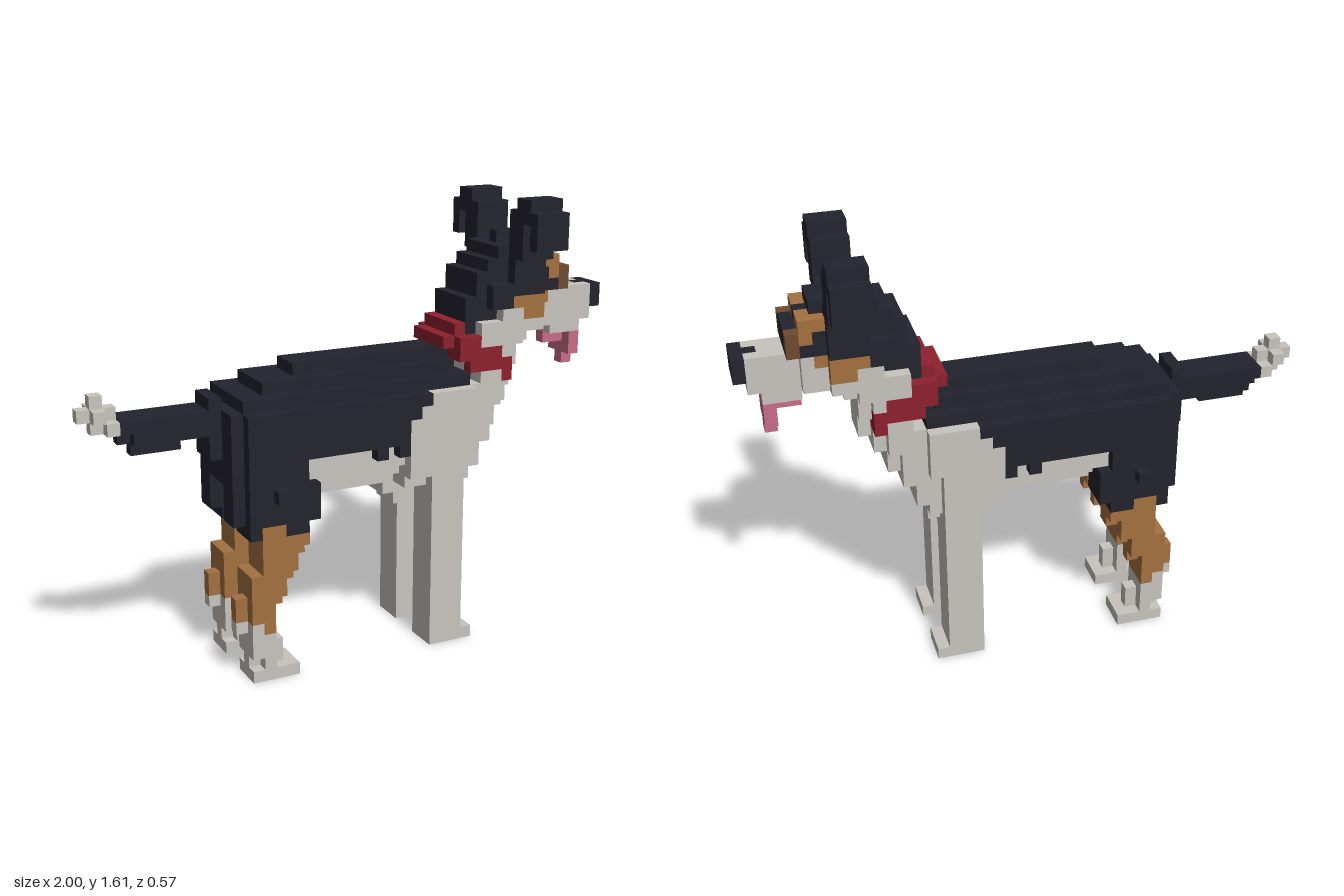
import * as THREE from 'three';

const UNIT = 2 / 46; // one cube; the grid is 46 long, 37 high, 13 wide

function mat(name, color) {
  const m = new THREE.MeshStandardMaterial({ color });
  m.name = name;
  return m;
}

// The six cube faces: outward normal and two edge directions (u x v = normal)
const FACES = [
  [[1, 0, 0], [0, 1, 0], [0, 0, 1]], [[-1, 0, 0], [0, 0, 1], [0, 1, 0]],
  [[0, 1, 0], [0, 0, 1], [1, 0, 0]], [[0, -1, 0], [1, 0, 0], [0, 0, 1]],
  [[0, 0, 1], [1, 0, 0], [0, 1, 0]], [[0, 0, -1], [0, 1, 0], [1, 0, 0]],
];

export function createModel() {
  const white = mat('white fur', 0xc8c3bd), black = mat('black fur', 0x23232d);
  const tan = mat('tan fur', 0xa47140), brown = mat('brown eye', 0x704a30);
  const red = mat('red collar', 0x8e202d), pink = mat('pink tongue', 0xc86c88);

  const cells = new Map();
  const key = (x, y, z) => x + ',' + y + ',' + z;
  // Fill a block of cubes, mirrored in z: z0..z1 is the inclusive distance from the middle
  function fill(part, m, x0, x1, y0, y1, z0, z1) {
    for (let x = x0; x < x1; x++) for (let y = y0; y < y1; y++)
      for (let z = -z1; z <= z1; z++) {
        if (Math.abs(z) < z0) continue;
        const name = z0 > 1 && /Leg|ear/.test(part) ? part + (z > 0 ? 'Near' : 'Far') : part;
        cells.set(key(x, y, z), { x, y, z, m, name });
      }
  }
  const layers = (part, m, rows) => rows.forEach((r) => fill(part, m, ...r));

  // Belly, narrowing downwards
  layers('belly', white, [
    [17, 28, 17, 19, 0, 3], [17, 28, 16, 17, 0, 3], [18, 28, 15, 16, 0, 2],
    [18, 28, 14, 15, 0, 1], [25, 30, 13, 14, 0, 1], [26, 31, 12, 13, 0, 1],
  ]);
  // Chest and shoulders
  layers('chest', white, [
    [26, 32, 14, 20, 0, 3], [26, 31, 15, 20, 4, 4], [27, 32, 18, 21, 0, 4],
    [28, 32, 20, 22, 0, 4], [28, 32, 13, 16, 0, 2], [32, 33, 15, 22, 0, 3],
    [31, 33, 15, 17, 0, 2], [33, 34, 17, 23, 0, 3], [34, 35, 18, 23, 0, 2],
    [34, 35, 20, 23, 3, 3], [35, 36, 20, 23, 0, 2], [36, 37, 21, 23, 0, 1],
  ]);
  // Saddle of dark fur over back and flanks
  layers('back', black, [
    [11, 27, 19, 22, 0, 3], [12, 26, 18, 22, 4, 4], [26, 27, 20, 22, 4, 4],
    [27, 28, 21, 22, 4, 4], [12, 32, 22, 23, 0, 3], [14, 31, 23, 24, 0, 2],
    [17, 31, 24, 25, 0, 1], [10, 11, 18, 23, 0, 1], [23, 24, 17, 18, 4, 4],
    [25, 26, 17, 18, 4, 4], [27, 32, 21, 22, 0, 3],
  ]);
  // Rump and thighs
  layers('rump', black, [
    [11, 12, 16, 22, 0, 3], [12, 17, 16, 19, 0, 4],
  ]);
  layers('hindLeg', black, [
    [11, 12, 13, 18, 2, 3], [12, 17, 13, 18, 2, 4], [17, 18, 13, 16, 2, 4],
    [12, 13, 12, 13, 2, 4], [15, 17, 12, 13, 2, 4], [14, 15, 15, 16, 5, 5],
  ]);
  // Tan hocks
  layers('hindLeg', tan, [
    [13, 15, 12, 13, 2, 4], [13, 17, 11, 12, 2, 4], [13, 16, 9, 11, 2, 4],
    [16, 17, 10, 11, 3, 3], [12, 15, 7, 9, 2, 4], [15, 16, 8, 9, 3, 3],
    [12, 14, 5, 7, 2, 4], [11, 12, 5, 7, 3, 3], [14, 15, 6, 7, 3, 3],
    [13, 14, 4, 5, 2, 4],
  ]);
  // White hind ankles and paws
  layers('hindLeg', white, [
    [11, 12, 4, 5, 3, 3], [12, 13, 4, 5, 2, 4], [12, 14, 2, 4, 2, 4],
    [12, 13, 1, 2, 3, 3], [13, 14, 1, 2, 2, 4], [14, 15, 1, 3, 3, 3],
    [12, 16, 0, 1, 2, 4],
  ]);
  // Straight front legs with paws
  layers('frontLeg', white, [
    [28, 31, 0, 16, 2, 4], [31, 32, 0, 1, 2, 4],
  ]);
  // Tail with a tufted white tip
  layers('tail', black, [
    [3, 11, 20, 22, 0, 0], [3, 11, 21, 22, 0, 1], [4, 10, 20, 21, 0, 1],
    [4, 8, 19, 20, 0, 0],
  ]);
  layers('tailTip', white, [
    [0, 3, 22, 23, 0, 0], [1, 2, 22, 23, 0, 1], [1, 2, 23, 24, 0, 0],
    [1, 3, 21, 22, 0, 0], [2, 3, 21, 22, 0, 1],
  ]);
  // Neck: pale throat, dark nape
  layers('neck', white, [
    [32, 36, 23, 27, 0, 2], [33, 36, 24, 27, 3, 3], [36, 37, 23, 26, 0, 2],
    [35, 37, 25, 28, 0, 3], [37, 38, 25, 26, 0, 2],
  ]);
  layers('nape', black, [
    [32, 33, 25, 29, 0, 2], [33, 34, 27, 31, 0, 2], [34, 35, 27, 32, 0, 2],
    [35, 36, 28, 33, 0, 2], [34, 36, 28, 30, 3, 3],
  ]);
  // Collar sloping down towards the throat
  layers('collar', red, [
    [30, 32, 25, 26, 0, 2], [31, 32, 26, 27, 0, 2], [31, 33, 24, 26, 3, 3],
    [31, 32, 24, 25, 0, 2], [32, 33, 23, 26, 3, 3], [33, 35, 23, 25, 3, 3],
    [35, 36, 22, 24, 3, 3], [35, 36, 22, 24, 0, 2],
  ]);
  // Head
  layers('head', black, [
    [36, 39, 28, 32, 0, 3], [36, 39, 32, 33, 0, 2], [39, 41, 28, 31, 0, 2],
    [39, 40, 31, 33, 0, 1], [36, 38, 33, 34, 0, 0], [40, 41, 31, 32, 0, 0],
    [41, 42, 29, 31, 0, 1],
  ]);
  layers('cheeks', white, [
    [36, 39, 26, 28, 0, 3], [38, 41, 26, 28, 0, 2], [40, 41, 28, 29, 1, 2],
  ]);
  layers('cheekPatches', tan, [
    [36, 39, 28, 29, 3, 3], [37, 39, 27, 28, 3, 3], [39, 40, 28, 29, 2, 2],
  ]);
  layers('eyebrows', tan, [
    [39, 41, 31, 32, 1, 2], [40, 41, 30, 31, 2, 2],
  ]);
  layers('eyes', brown, [[41, 42, 29, 31, 2, 2]]);
  // Muzzle, nose and tongue
  layers('muzzle', white, [
    [41, 45, 26, 29, 0, 1], [41, 44, 25, 26, 0, 1],
  ]);
  layers('nose', black, [[45, 46, 27, 29, 0, 1], [44, 45, 28, 29, 0, 0]]);
  layers('tongue', pink, [
    [41, 44, 24, 25, 0, 0], [43, 44, 23, 25, 0, 1], [43, 44, 22, 23, 0, 0],
  ]);
  // Ears folding over at the tip
  layers('ear', black, [
    [36, 39, 32, 36, 3, 4], [36, 39, 36, 37, 4, 5], [36, 39, 35, 36, 5, 6],
    [36, 39, 33, 35, 6, 6],
  ]);

  // Collect only the exposed cube faces, grouped by part and colour
  const buckets = new Map();
  for (const c of cells.values()) {
    const id = c.name + '|' + c.m.name;
    if (!buckets.has(id)) buckets.set(id, { name: c.name, m: c.m, pos: [], nor: [] });
    const b = buckets.get(id);
    const mid = [c.x + 0.5 - 23, c.y + 0.5, c.z];
    for (const [n, u, v] of FACES) {
      if (cells.has(key(c.x + n[0], c.y + n[1], c.z + n[2]))) continue;
      for (const [s, t] of [[-1, -1], [1, -1], [1, 1], [-1, -1], [1, 1], [-1, 1]]) {
        for (let i = 0; i < 3; i++) b.pos.push((mid[i] + (n[i] + s * u[i] + t * v[i]) / 2) * UNIT);
        b.nor.push(...n);
      }
    }
  }

  const dog = new THREE.Group();
  dog.name = 'dog';
  for (const { name, m, pos, nor } of buckets.values()) {
    const g = new THREE.BufferGeometry();
    g.setAttribute('position', new THREE.Float32BufferAttribute(pos, 3));
    g.setAttribute('normal', new THREE.Float32BufferAttribute(nor, 3));
    const mesh = new THREE.Mesh(g, m);
    mesh.name = name;
    dog.add(mesh);
  }
  return dog;
}
